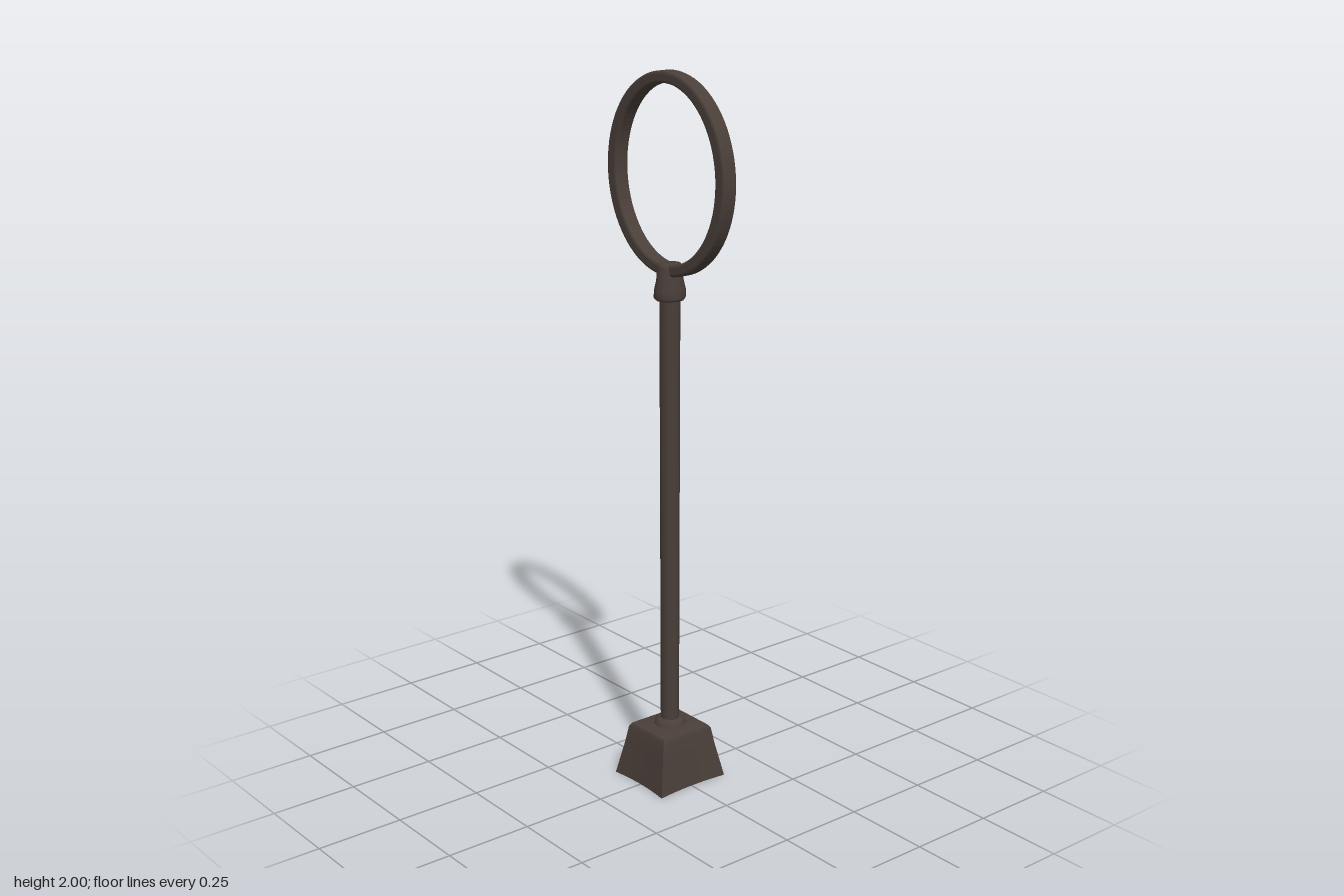
import * as THREE from 'three';

const iron = new THREE.MeshStandardMaterial({ color: 0x4a3f39 });
iron.name = 'dark iron';

function part(name, geometry, parent) {
  const mesh = new THREE.Mesh(geometry, iron);
  mesh.name = name;
  parent.add(mesh);
  return mesh;
}

// Tapered foot block with slightly hollowed sides and a softly domed top
function footGeometry() {
  const g = new THREE.BoxGeometry(2, 1, 2, 6, 4, 6);
  const p = g.attributes.position;
  const heights = [0, 0.05, 0.1, 0.147, 0.157];
  const scales = [1, 0.91, 0.82, 0.75, 0.69];
  for (let i = 0; i < p.count; i++) {
    const x = p.getX(i), z = p.getZ(i);
    const level = Math.round((p.getY(i) + 0.5) * 4);
    const s = scales[level];
    const pinch = level < 3 ? 0.07 * (1 - level / 3) : 0;
    const px = 1 - pinch * (1 - z * z), pz = 1 - pinch * (1 - x * x);
    const inside = Math.max(Math.abs(x), Math.abs(z)) < 0.9;
    const dome = level === 4 && inside ? 0.005 : 0;
    p.setXYZ(i, 0.105 * s * x * px, heights[level] + dome, 0.115 * s * z * pz);
  }
  g.computeVertexNormals();
  return g;
}

// Oval ring with a flat, bevelled section
function ringGeometry() {
  const shape = new THREE.Shape();
  shape.absellipse(0, 0, 0.236, 0.262, 0, Math.PI * 2);
  const hole = new THREE.Path();
  hole.absellipse(0, 0, 0.212, 0.244, 0, Math.PI * 2, true);
  shape.holes.push(hole);
  const g = new THREE.ExtrudeGeometry(shape, {
    depth: 0.03, curveSegments: 40,
    bevelEnabled: true, bevelThickness: 0.007, bevelSize: 0.007, bevelSegments: 2,
  });
  return g.translate(0, 0, -0.015);
}

const lathe = (points, sides) =>
  new THREE.LatheGeometry(points.map(([r, y]) => new THREE.Vector2(r, y)), sides);

export function createModel() {
  const model = new THREE.Group();
  model.name = 'ringPost';

  part('foot', footGeometry(), model);

  // Low seat where the pole enters the foot
  part('footCollar', lathe([[0.047, 0.155], [0.044, 0.168], [0.036, 0.178], [0.02, 0.181]], 12), model);

  const pole = part('pole', new THREE.CylinderGeometry(0.028, 0.026, 1.25, 10, 1), model);
  pole.position.y = 0.785;

  // Socket gripping the ring, narrower across the front than the side
  const socket = part('ringSocket', lathe([
    [0, 1.397], [0.04, 1.397], [0.045, 1.404], [0.044, 1.425],
    [0.038, 1.45], [0.035, 1.485], [0.03, 1.495], [0, 1.497],
  ], 12), model);
  socket.scale.set(0.92, 1, 1);

  const ring = part('ring', ringGeometry(), model);
  ring.position.y = 1.731;

  return model;
}
